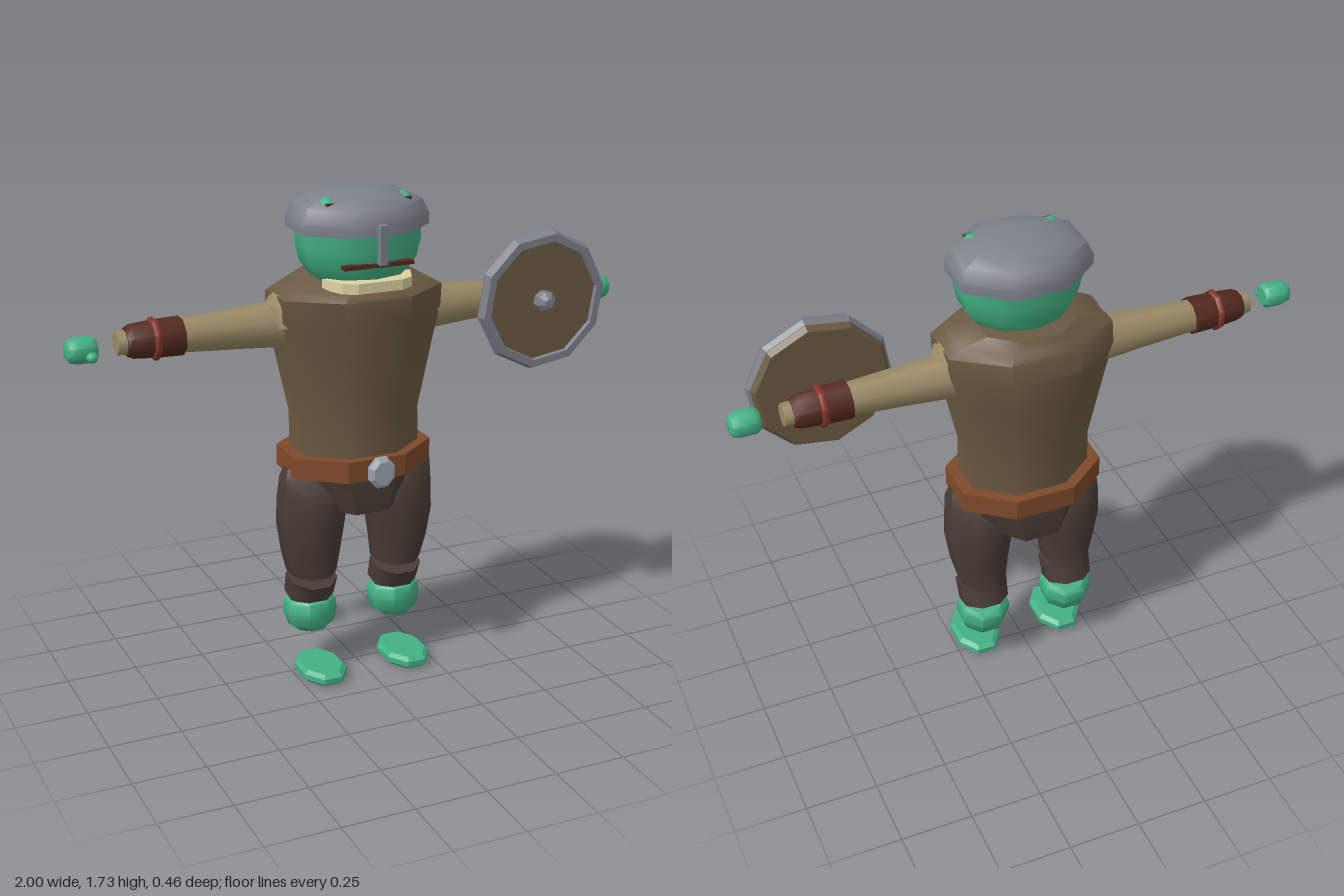
import * as THREE from 'three';
import { toCreasedNormals } from 'three/addons/utils/BufferGeometryUtils.js';

const mat = (name, color) => new THREE.MeshStandardMaterial({ name, color });

// Skin n-sided rings [y, rx, rz, cx, cz]; rx and rz are half sizes of the ring.
function loft(rings, n = 8, crease = 0.7, caps = true) {
  const pos = [];
  const k = 1 / Math.cos(Math.PI / n);
  const P = ([y, rx, rz, cx = 0, cz = 0], i) => {
    const a = (i + 0.5) * 2 * Math.PI / n;
    return [cx + rx * k * Math.cos(a), y, cz + rz * k * Math.sin(a)];
  };
  const C = ([y, , , cx = 0, cz = 0]) => [cx, y, cz];
  for (let i = 0; i < n; i++) {
    for (let j = 0; j < rings.length - 1; j++) {
      const a = P(rings[j], i), b = P(rings[j + 1], i);
      const c = P(rings[j + 1], i + 1), d = P(rings[j], i + 1);
      pos.push(...a, ...b, ...c, ...a, ...c, ...d);
    }
    if (caps) {
      const lo = rings[0], hi = rings[rings.length - 1];
      pos.push(...C(hi), ...P(hi, i + 1), ...P(hi, i), ...C(lo), ...P(lo, i), ...P(lo, i + 1));
    }
  }
  const g = new THREE.BufferGeometry();
  g.setAttribute('position', new THREE.Float32BufferAttribute(pos, 3));
  return toCreasedNormals(g, crease);
}

export function createModel() {
  const group = new THREE.Group();
  const green = mat('green skin', 0x43b183);
  const tunic = mat('brown tunic', 0x6b5a42);
  const sleeve = mat('tan sleeve', 0x9a8a66);
  const cream = mat('cream collar', 0xddd3a2);
  const steel = mat('grey steel', 0x7c8089);
  const leather = mat('belt leather', 0x7f4a2a);
  const pants = mat('dark trousers', 0x4a3c36);
  const wrap = mat('wrist leather', 0x54291f);
  const red = mat('red cord', 0x85352a);
  const silver = mat('buckle silver', 0x98a2ac);
  const add = (name, geo, material, x = 0, y = 0, z = 0) => {
    const m = new THREE.Mesh(geo, material);
    m.name = name;
    m.position.set(x, y, z);
    group.add(m);
    return m;
  };
  const box = (w, h, d) => new THREE.BoxGeometry(w, h, d);

  // Body
  add('tunic', loft([
    [0.78, 0.215, 0.165, 0, -0.015], [0.95, 0.212, 0.168, 0, -0.018],
    [1.2, 0.265, 0.188, 0, -0.02], [1.31, 0.288, 0.205, 0, -0.02],
    [1.385, 0.288, 0.2, 0, -0.01], [1.41, 0.245, 0.185, 0, -0.01],
    [1.445, 0.16, 0.13, 0, -0.05]]), tunic);
  add('hips', loft([[0.62, 0.145, 0.165, 0, -0.022], [0.7, 0.185, 0.175, 0, -0.022],
    [0.79, 0.225, 0.178, 0, -0.02]]), pants);
  add('belt', loft([[0.755, 0.255, 0.197, 0, -0.018], [0.83, 0.255, 0.197, 0, -0.018]], 8, 0.3), leather);
  const buckle = loft([[0.195, 0.036, 0.042], [0.205, 0.046, 0.053],
    [0.222, 0.046, 0.053], [0.234, 0.033, 0.04]], 8, 0.3);
  add('buckle', buckle.rotateX(Math.PI / 2), silver, 0, 0.793, 0);

  // Collar: a shallow curved strip across the throat
  const arc = new THREE.Shape();
  arc.moveTo(-0.16, -0.09);
  [[-0.125, -0.175], [-0.08, -0.2], [0.08, -0.2], [0.125, -0.175], [0.16, -0.09],
    [0.125, -0.09], [0.09, -0.14], [-0.09, -0.14], [-0.125, -0.09]].forEach(p => arc.lineTo(...p));
  const collar = new THREE.ExtrudeGeometry(arc, { depth: 0.035, bevelEnabled: false });
  add('collar', collar.rotateX(-Math.PI / 2), cream, 0, 1.415, 0);

  // Head and helmet
  add('head', loft([[1.4, 0.1, 0.1, 0, 0.02], [1.44, 0.155, 0.135, 0, 0.02],
    [1.49, 0.192, 0.155, 0, 0.022], [1.55, 0.205, 0.166, 0, 0.022],
    [1.64, 0.205, 0.166, 0, 0.022]], 10, 0.85), green);
  add('helmet', loft([[1.6, 0.226, 0.185, 0, 0.015], [1.635, 0.228, 0.185, 0, 0.015],
    [1.685, 0.205, 0.165, 0, 0.015], [1.712, 0.155, 0.125, 0, 0.015],
    [1.73, 0.075, 0.06, 0, 0.015]], 8, 0.85), steel);
  add('noseGuard', box(0.026, 0.13, 0.028), steel, 0, 1.575, 0.215);
  add('mouth', box(0.25, 0.013, 0.03), wrap, 0, 1.502, 0.178);

  // Shield, facing forward on the left arm
  const face = g => g.rotateX(Math.PI / 2).rotateZ(-Math.PI / 20);
  const rot = Math.cos(Math.PI / 10);
  const ring = (z, r) => [z, r * rot, r * rot];
  add('shieldBoard', face(loft([ring(0.05, 0.225), ring(0.07, 0.238), ring(0.106, 0.225)], 10, 0.3)),
    tunic, 0.666, 1.29, 0);
  add('shieldRim', face(loft([ring(0.066, 0.23), ring(0.09, 0.249), ring(0.121, 0.238),
    ring(0.121, 0.212), ring(0.1, 0.208)], 10, 0.3, false)), steel, 0.666, 1.29, 0);
  add('shieldBoss', face(loft([ring(0.1, 0.036), ring(0.135, 0.036), ring(0.155, 0.016)], 8, 0.3)),
    steel, 0.666, 1.29, 0);

  // Paired parts
  for (const s of [-1, 1]) {
    const side = s > 0 ? 'left' : 'right';
    const out = g => g.rotateZ(-s * Math.PI / 2);
    const arm = (name, rings, material, crease = 0.85) =>
      add(side + name, out(loft(rings, 8, crease)), material, 0, 1.282, -0.03);

    arm('Sleeve', [[0.2, 0.085, 0.085], [0.29, 0.072, 0.075], [0.42, 0.063, 0.064],
      [0.5, 0.059, 0.058], [0.64, 0.05, 0.052], [0.83, 0.036, 0.036]], sleeve);
    arm('Bracer', [[0.61, 0.06, 0.064], [0.7, 0.058, 0.06], [0.78, 0.052, 0.054],
      [0.8, 0.043, 0.044]], wrap);
    arm('Cord', [[0.692, 0.062, 0.062], [0.697, 0.066, 0.066], [0.71, 0.066, 0.066],
      [0.715, 0.061, 0.061]], red);
    const shoulder = add(side + 'Shoulder', loft([[0, 0.05, 0.085], [0.07, 0.04, 0.07], [0.1, 0.015, 0.04]]),
      sleeve, s * 0.262, 1.29, -0.015);
    shoulder.rotation.z = -s * 0.1;

    // Fist with thumb
    add(side + 'Hand', out(loft([[0.9, 0.03, 0.032], [0.912, 0.04, 0.042], [0.965, 0.041, 0.044],
      [0.99, 0.035, 0.037], [1, 0.022, 0.024]], 8, 0.85)), green, 0, 1.278, -0.016);
    const thumb = add(side + 'Thumb', new THREE.SphereGeometry(0.018, 8, 6), green, s * 0.925, 1.262, 0.028);
    thumb.scale.set(1.1, 1, 1.3);

    // Small bumps poking through the helmet
    const bump = add(side + 'Bump', new THREE.IcosahedronGeometry(0.033, 1), green, s * 0.135, 1.69, 0.075);
    bump.scale.set(0.95, 0.85, 1.1);
    add(side + 'BumpMark', box(0.035, 0.009, 0.012), pants, s * 0.135, 1.697, 0.108);

    // Leg, cuff, heel and sole
    add(side + 'Leg', loft([[0.37, 0.08, 0.093, s * 0.163, -0.018], [0.45, 0.095, 0.1, s * 0.168, -0.012],
      [0.56, 0.11, 0.116, s * 0.168, -0.01], [0.66, 0.115, 0.11, s * 0.16, -0.008],
      [0.74, 0.115, 0.075, s * 0.158, 0], [0.775, 0.105, 0.05, s * 0.158, 0]], 8, 0.85), pants);
    const cuff = add(side + 'Cuff', loft([[-0.045, 0.081, 0.08, 0, -0.01], [0.035, 0.084, 0.088]], 8, 0.85),
      pants, s * 0.163, 0.32, -0.022);
    cuff.rotation.x = 0.22;
    const heel = add(side + 'Heel', loft([[-0.065, 0.05, 0.055], [-0.045, 0.076, 0.075],
      [0, 0.088, 0.088], [0.04, 0.085, 0.086], [0.058, 0.07, 0.07]], 8, 0.85),
      green, s * 0.163, 0.212, -0.03);
    heel.rotation.x = -0.15;
    add(side + 'Sole', loft([[0, 0.066, 0.1], [0.014, 0.08, 0.118], [0.033, 0.08, 0.118],
      [0.045, 0.066, 0.102]], 8, 0.3), green, s * 0.162, 0, 0.058);
  }
  return group;
}
